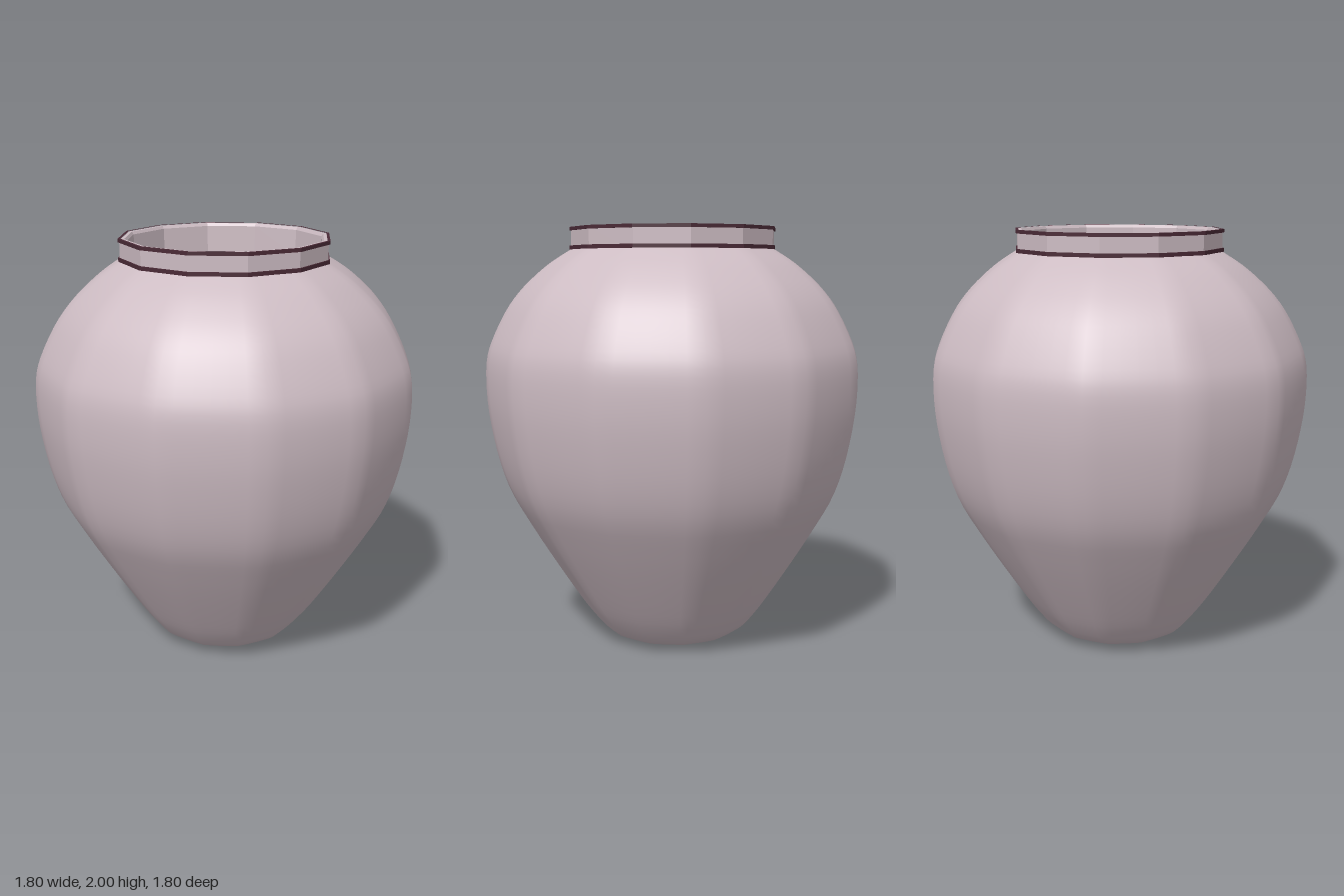
import * as THREE from 'three';
import { mergeVertices } from 'three/addons/utils/BufferGeometryUtils.js';

const SIDES = 12;

const clay = new THREE.MeshStandardMaterial({ color: 0xcdbcc3 });
clay.name = 'pale mauve clay';
const glaze = new THREE.MeshStandardMaterial({ color: 0x4a2a36 });
glaze.name = 'dark plum glaze';

const toPoints = (list) => list.map(([r, y]) => new THREE.Vector2(r, y));

// Smooth twelve-sided surface with gently bulging sides
function softLathe(profile) {
  const curve = new THREE.SplineCurve(toPoints(profile));
  const points = curve.getPoints(56);
  points.forEach((p) => { p.x = Math.max(p.x, 0); });
  let geo = new THREE.LatheGeometry(points, SIDES * 6);
  const pos = geo.attributes.position;
  const step = (Math.PI * 2) / SIDES;
  for (let i = 0; i < pos.count; i++) {
    const x = pos.getX(i), z = pos.getZ(i);
    const angle = Math.atan2(x, z) + Math.PI * 2;
    const local = (angle % step) - step / 2;
    const polygon = Math.cos(step / 2) / Math.cos(local);
    const k = THREE.MathUtils.lerp(1, polygon, 0.65);
    pos.setXYZ(i, x * k, pos.getY(i), z * k);
  }
  geo.deleteAttribute('uv');
  geo.deleteAttribute('normal');
  geo = mergeVertices(geo, 1e-4);
  geo.computeVertexNormals();
  return geo;
}

// Faceted twelve-sided ring
function facetedLathe(profile) {
  const geo = new THREE.LatheGeometry(toPoints(profile), SIDES).toNonIndexed();
  geo.computeVertexNormals();
  return geo;
}

export function createModel() {
  const group = new THREE.Group();
  group.name = 'jar';
  const add = (name, geometry, material) => {
    const mesh = new THREE.Mesh(geometry, material);
    mesh.name = name;
    group.add(mesh);
  };

  // Outer wall, from the centre of the base up to the neck
  add('body', softLathe([
    [0, 0.005], [0.12, 0.006], [0.22, 0.012], [0.3, 0.03], [0.355, 0.065],
    [0.4, 0.115], [0.47, 0.21], [0.6, 0.41], [0.71, 0.59], [0.795, 0.745],
    [0.85, 0.91], [0.887, 1.1], [0.9, 1.25], [0.895, 1.38], [0.865, 1.48],
    [0.8, 1.61], [0.735, 1.7], [0.66, 1.775], [0.58, 1.84], [0.485, 1.9],
  ]), clay);

  // Inner wall, from the neck down to the floor
  add('interior', softLathe([
    [0.462, 1.87], [0.55, 1.81], [0.63, 1.745], [0.7, 1.67], [0.76, 1.59],
    [0.825, 1.47], [0.855, 1.38], [0.86, 1.25], [0.847, 1.1], [0.81, 0.92],
    [0.755, 0.76], [0.67, 0.61], [0.56, 0.43], [0.43, 0.23], [0.36, 0.14],
    [0.28, 0.08], [0.2, 0.055], [0.1, 0.047], [0, 0.045],
  ]), clay);

  // Neck: outer face, lip and inner face
  add('neck', facetedLathe([
    [0.49, 1.88], [0.49, 1.992], [0.483, 1.998], [0.468, 1.998], [0.46, 1.985], [0.455, 1.86],
  ]), clay);

  // Dark bands at the foot and top of the neck
  for (const [name, low, high] of [['lowerBand', 1.896, 1.914], ['upperBand', 1.984, 2]]) {
    add(name, facetedLathe([
      [0.484, low], [0.497, low], [0.497, high], [0.484, high],
    ]), glaze);
  }

  return group;
}
